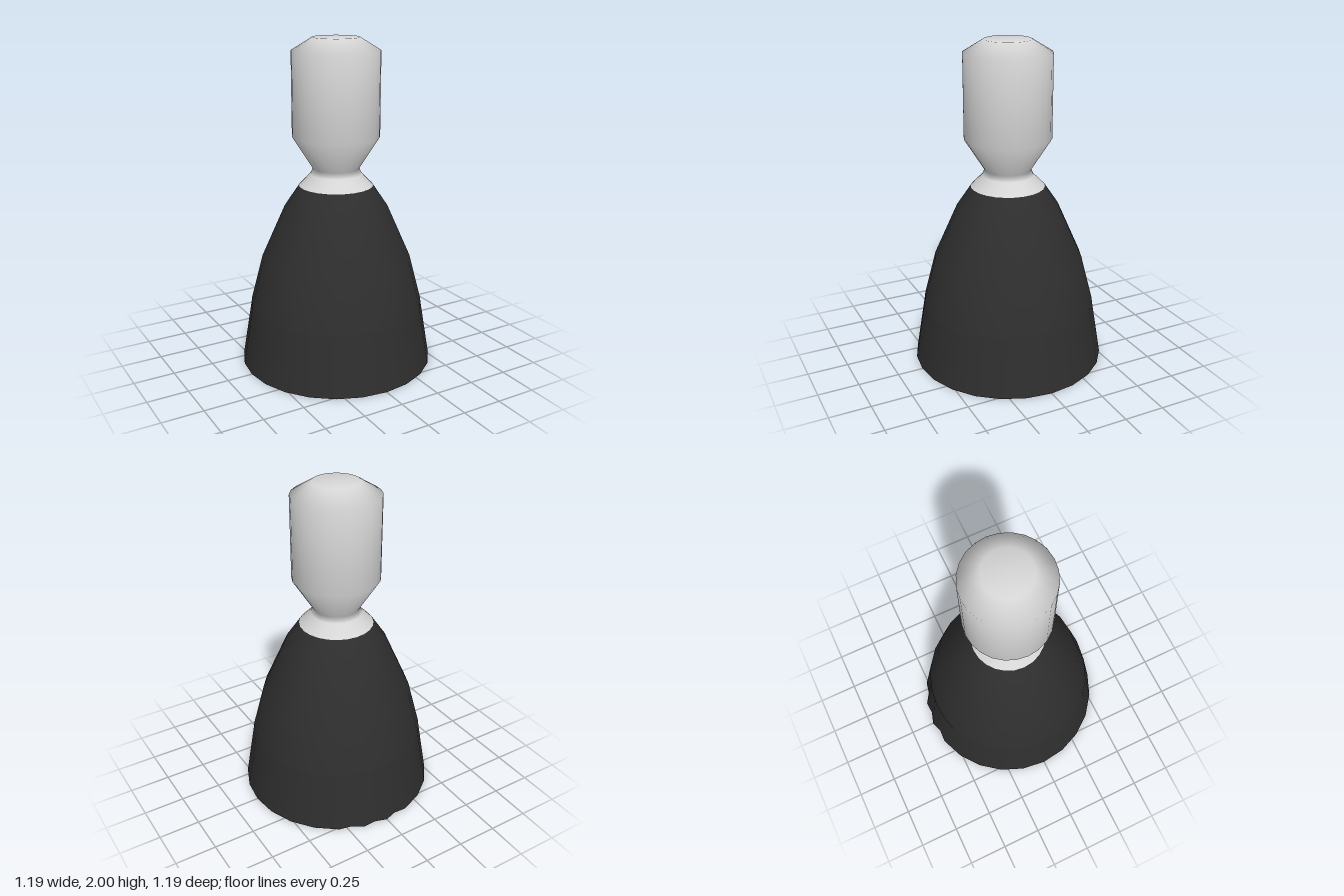
import * as THREE from 'three';

const SIDES = 24;

function profile(pairs) {
  return pairs.map(([r, y]) => new THREE.Vector2(r, y));
}

export function createModel() {
  const model = new THREE.Group();
  model.name = 'rocketEngine';

  const lightMetal = new THREE.MeshStandardMaterial({ color: 0xd6d6d6 });
  lightMetal.name = 'light metal';
  const darkMetal = new THREE.MeshStandardMaterial({ color: 0x2e2e2e, side: THREE.DoubleSide });
  darkMetal.name = 'dark metal';

  function add(name, geometry, material) {
    const mesh = new THREE.Mesh(geometry, material);
    mesh.name = name;
    model.add(mesh);
  }

  // Combustion chamber with its throat and collar
  add('combustionChamber', new THREE.LatheGeometry(profile([
    [0.225, 1.12], [0.155, 1.19], [0.14, 1.225], [0.263, 1.42],
    [0.263, 1.925], [0.14, 2], [0, 2],
  ]), SIDES), lightMetal);

  // Open bell: extra columns lie on the chords, so the outline keeps 24 sides
  const bellProfile = profile([
    [0.593, 0], [0.535, 0.35], [0.531, 0.38], [0.457, 0.665], [0.313, 0.99], [0.225, 1.12],
  ]);
  const bell = new THREE.LatheGeometry(bellProfile, SIDES * 2);
  const pos = bell.attributes.position;
  const rows = bellProfile.length;
  for (let k = 0; k < pos.count; k++) {
    const column = Math.floor(k / rows);
    const row = k % rows;
    let scale = column % 2 ? Math.cos(Math.PI / SIDES) : 1;
    // Slightly dented patch low on the back, with a rippled rim
    if (row === 1 && column >= 21 && column <= 26) scale *= 0.982;
    if (row === 0 && [21, 23, 25].includes(column)) scale *= 0.976;
    pos.setX(k, pos.getX(k) * scale);
    pos.setZ(k, pos.getZ(k) * scale);
  }
  add('nozzleBell', bell, darkMetal);

  // Closed inner throat above the bell
  add('innerThroat', new THREE.LatheGeometry(profile([
    [0.222, 1.12], [0.145, 1.19], [0.125, 1.22], [0, 1.22],
  ]), SIDES), darkMetal);

  return model;
}
